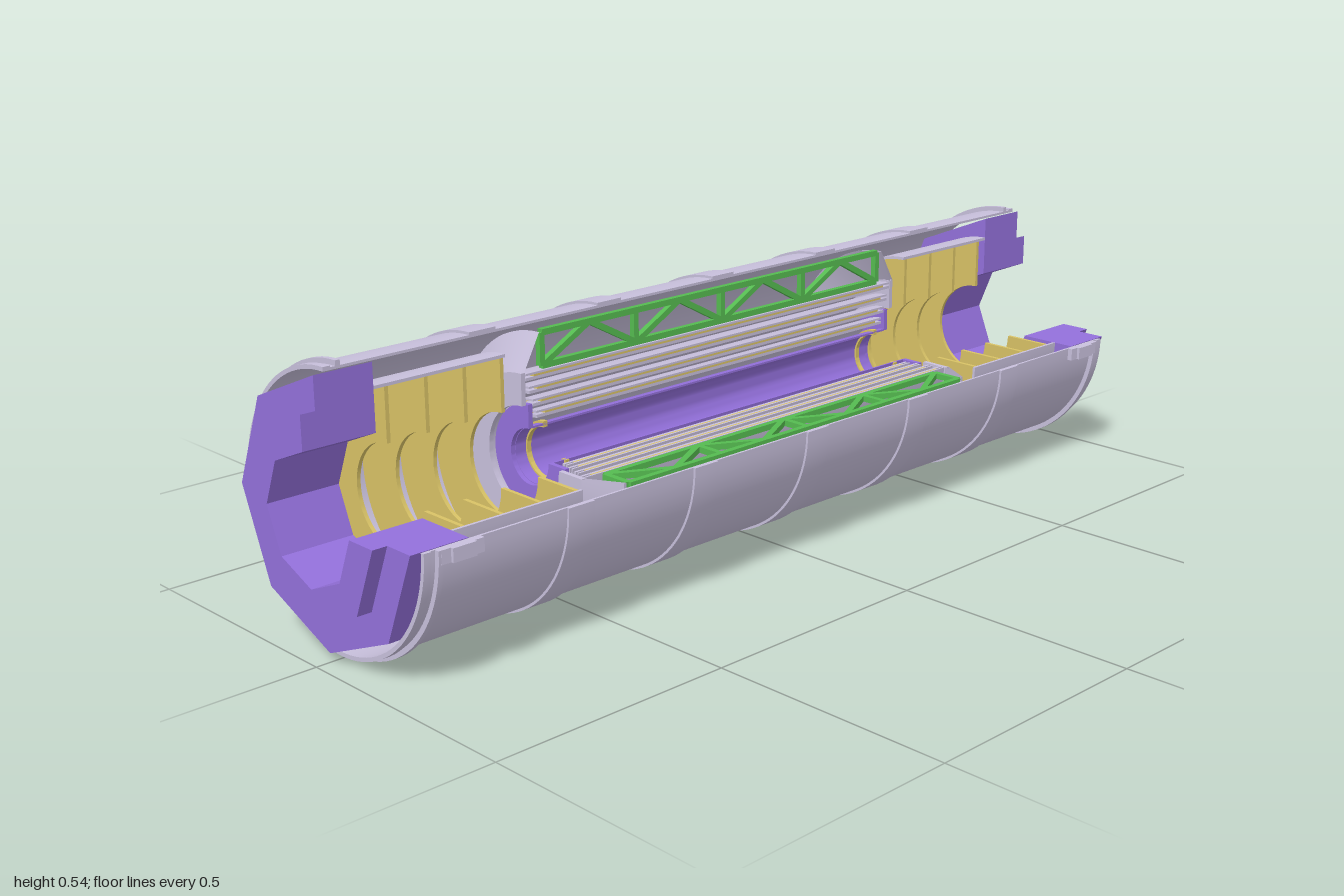
import * as THREE from 'three';
import { toCreasedNormals } from 'three/addons/utils/BufferGeometryUtils.js';

const CY = 0.271; // height of the long axis

const mat = (color) => new THREE.MeshStandardMaterial({ color, side: THREE.DoubleSide });

export function createModel() {
  const model = new THREE.Group();
  model.name = 'cutawayCylinder';
  const body = new THREE.Group();
  body.name = 'body';
  body.position.y = CY;
  model.add(body);

  const shellMat = mat(0xc8c0dc);
  const purple = mat(0x9370db);
  const yellow = mat(0xd8c266);
  const green = mat(0x55bb50);

  const add = (name, geo, material, parent = body) => {
    const mesh = new THREE.Mesh(geo, material);
    mesh.name = name;
    parent.add(mesh);
    return mesh;
  };

  // Three-quarter ring around z, open in the upper quadrant at +x
  const sector = (name, rIn, rOut, zA, zB, material, nOut = 72, nIn = nOut) => {
    const arc = (r, n) => Array.from({ length: n + 1 }, (_, i) => {
      const a = Math.PI / 2 + (i / n) * Math.PI * 1.5;
      return new THREE.Vector2(r * Math.cos(a), r * Math.sin(a));
    });
    const shape = new THREE.Shape([...arc(rOut, nOut), ...arc(rIn, nIn).reverse()]);
    const z0 = Math.min(zA, zB);
    const geo = new THREE.ExtrudeGeometry(shape, { depth: Math.abs(zB - zA), bevelEnabled: false });
    geo.translate(0, 0, z0);
    return add(name, toCreasedNormals(geo, 0.4), material);
  };

  // Outer shell with raised bands
  sector('outerShell', 0.256, 0.261, -0.95, 0.95, shellMat);
  for (const z of [-0.61, -0.305, 0, 0.305, 0.61]) {
    sector('shellBand', 0.259, 0.266, z - 0.03, z + 0.03, shellMat);
  }

  // Parts repeated at both ends
  for (const s of [-1, 1]) {
    sector('endFlange', 0.257, 0.271, s * 0.915, s * 0.925, shellMat);
    sector('endRim', 0.256, 0.264, s * 0.935, s * 0.95, shellMat);

    // Octagonal end plug with a smaller raised step
    sector('endPlug', 0.125, 0.254, s * 0.85, s * 0.97, purple, 6);
    sector('endPlugStep', 0.125, 0.191, s * 0.97, s * 1.0, purple, 6);

    // Drum holding four thin discs
    sector('endDrum', 0.204, 0.21, s * 0.56, s * 0.85, shellMat);
    for (const z of [0.565, 0.65, 0.735, 0.82]) {
      sector('endDisc', 0.1, 0.204, s * z, s * (z + 0.008), yellow);
    }

    // Collar and sloping support between drum and core
    sector('coreCollar', 0.055, 0.102, s * 0.5, s * 0.51, purple);
    sector('coreRing', 0.05, 0.062, s * 0.465, s * 0.475, yellow);
    sector('coreFlange', 0.102, 0.165, s * 0.515, s * 0.525, shellMat);
    const cone = new THREE.LatheGeometry(
      [[0.165, 0.525], [0.236, 0.485], [0.236, 0.479], [0.165, 0.517], [0.165, 0.525]]
        .map(([r, z]) => new THREE.Vector2(r, s * z)), 54, 0, Math.PI * 1.5);
    cone.rotateX(Math.PI / 2); // axis onto z
    cone.rotateZ(Math.PI);
    add('slopingSupport', toCreasedNormals(cone, 0.4), shellMat);

    // Side brackets, the right one trimmed at the cut
    const bracket = (x, y, h) => {
      for (const [w, l] of [[0.014, 0.09], [0.02, 0.05]]) {
        const b = add('sideBracket', new THREE.BoxGeometry(w, h, l), shellMat);
        b.position.set(x + Math.sign(x) * (w - 0.014) / 2, y, s * 0.875);
      }
    };
    bracket(-0.264, 0.002, 0.052);
    bracket(0.264, -0.013, 0.026);
  }

  // Inner tube and the layered core
  sector('innerTube', 0.054, 0.058, -0.5, 0.5, purple, 36);
  [0.072, 0.096, 0.122, 0.148].forEach((r, i) => {
    const half = 0.49 + i * 0.008;
    sector('coreLayer', r, r + 0.006, -half, half, shellMat, 24);
    sector('coreLayerOuter', r + 0.01, r + 0.014, -half, half, shellMat, 24);
    sector('coreLayerFilling', r + 0.006, r + 0.01, -half + 0.02, half - 0.02, yellow, 24);
  });

  // Truss frames lying along both cut planes
  const makeTruss = () => {
    const truss = new THREE.Group();
    truss.name = 'truss';
    const r0 = 0.17, r1 = 0.234, half = 0.472, bays = 8, t = 0.012;
    const bar = (name, xa, za, xb, zb) => {
      const dx = xb - xa, dz = zb - za;
      const m = add(name, new THREE.BoxGeometry(t, t, Math.hypot(dx, dz)), green, truss);
      m.position.set((xa + xb) / 2, -t / 2, (za + zb) / 2);
      m.rotation.y = Math.atan2(dx, dz);
    };
    bar('trussInnerRail', r0, -half, r0, half);
    bar('trussOuterRail', r1, -half, r1, half);
    const step = (2 * half) / bays;
    for (let i = 0; i <= bays; i++) {
      const z = -half + i * step;
      if (i % 2 === 0) bar('trussPost', r0, z, r1, z);
      if (i === bays) break;
      if (i % 2) bar('trussDiagonal', r1, z, r0, z + step);
      else bar('trussDiagonal', r0, z, r1, z + step);
    }
    return truss;
  };
  body.add(makeTruss());
  const upper = makeTruss();
  upper.rotation.z = Math.PI / 2;
  upper.scale.y = -1; // keep its thickness behind the cut
  body.add(upper);

  return model;
}
